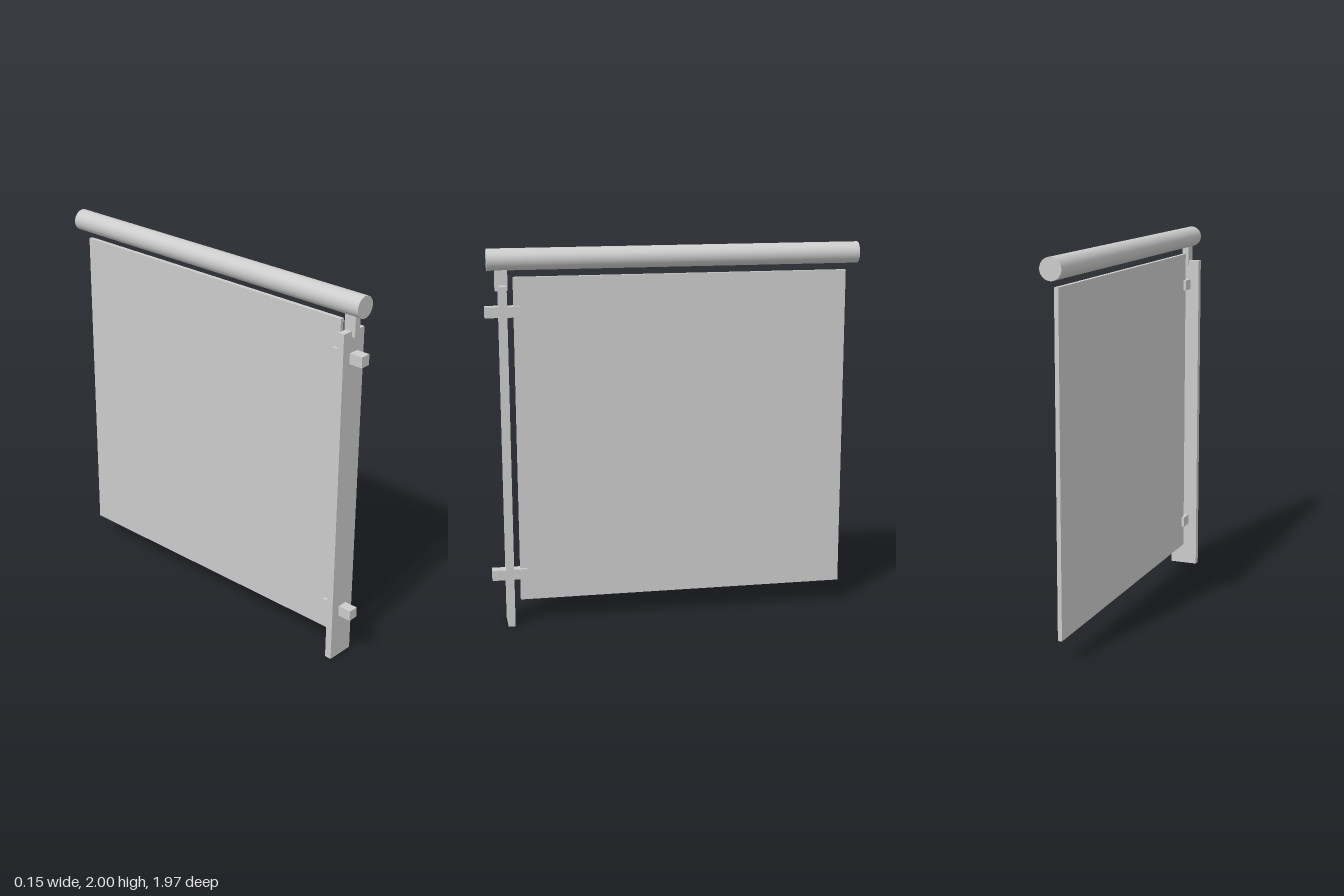
import * as THREE from 'three';

const material = new THREE.MeshStandardMaterial({ color: 0xcccccc });

// Box given by its full width and its y and z limits, centred on x = 0
function addBox(group, name, width, [y0, y1], [z0, z1]) {
  const mesh = new THREE.Mesh(new THREE.BoxGeometry(width, y1 - y0, z1 - z0), material);
  mesh.name = name;
  mesh.position.set(0, (y0 + y1) / 2, (z0 + z1) / 2);
  group.add(mesh);
}

export function createModel() {
  const group = new THREE.Group();
  group.name = 'railingSection';

  // Upright flat post, rail bracket and infill panel
  addBox(group, 'post', 0.154, [0, 1.813], [0.873, 0.91]);
  addBox(group, 'railBracket', 0.036, [1.785, 1.91], [0.864, 0.929]);
  addBox(group, 'panel', 0.022, [0.125, 1.853], [-0.922, 0.836]);

  // Clips passing through the post and gripping the panel edge
  for (const [name, y] of [['lowerClip', 0.272], ['upperClip', 1.677]]) {
    addBox(group, name, 0.055, [y - 0.028, y + 0.028], [0.8, 0.984]);
  }

  // Round handrail running front to back
  const rail = new THREE.Mesh(new THREE.CylinderGeometry(0.056, 0.056, 1.952, 48), material);
  rail.name = 'handrail';
  rail.rotation.x = Math.PI / 2;
  rail.position.set(0, 1.944, -0.008);
  group.add(rail);

  return group;
}
